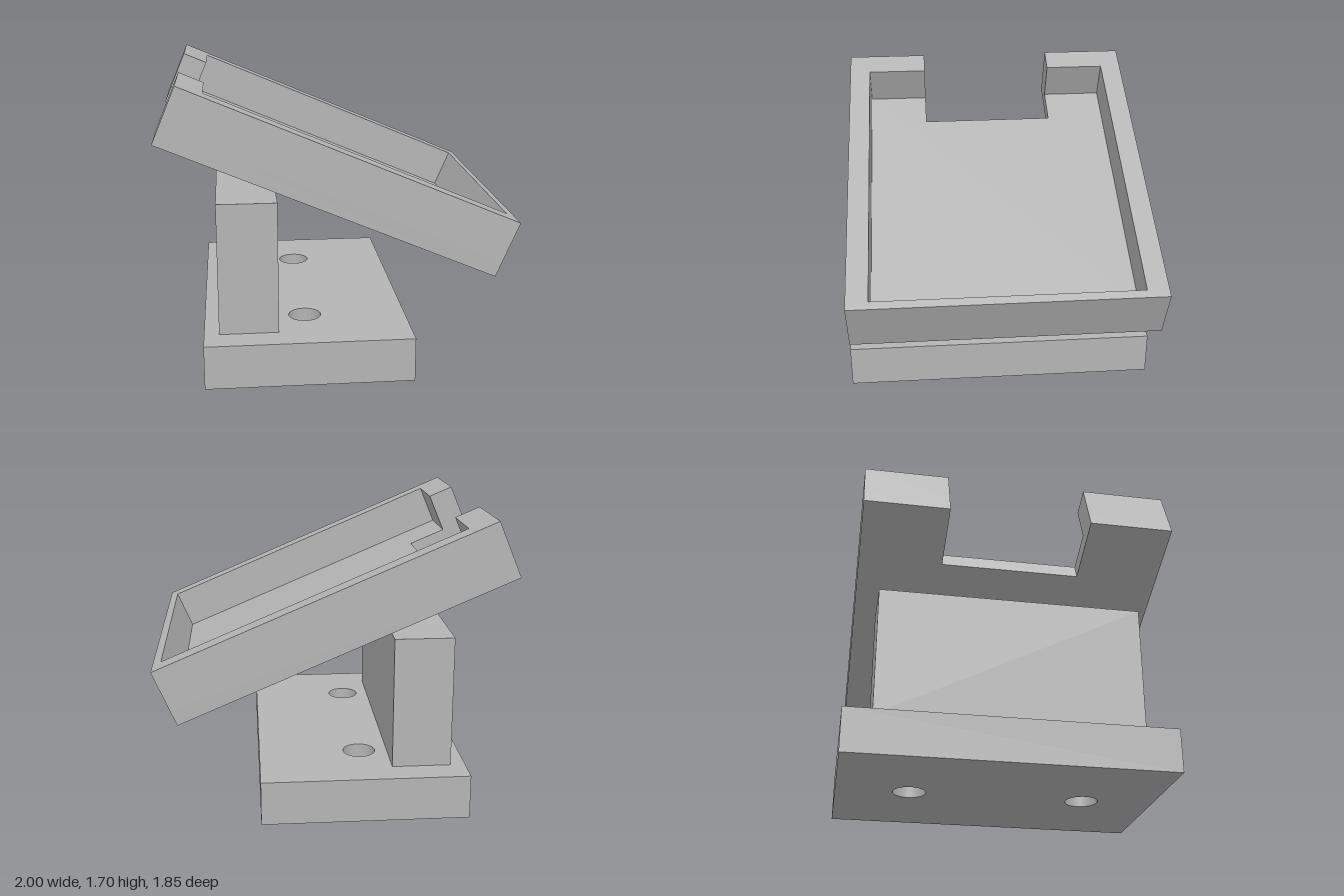
import * as THREE from 'three';

const grey = new THREE.MeshStandardMaterial({ color: 0xb4b4b4 });
grey.name = 'plain grey';

// Closed outline from [x, y] points
function outline(points) {
  return new THREE.Shape(points.map(([x, y]) => new THREE.Vector2(x, y)));
}

// Horizontal slab: outline lies in the x/z plane, extruded upwards from y
function slab(name, shape, y, height) {
  const geometry = new THREE.ExtrudeGeometry(shape, { depth: height, bevelEnabled: false, curveSegments: 24 });
  geometry.rotateX(-Math.PI / 2);
  geometry.translate(0, y, 0);
  const mesh = new THREE.Mesh(geometry, grey);
  mesh.name = name;
  return mesh;
}

export function createModel() {
  const model = new THREE.Group();
  model.name = 'tiltedTrayStand';

  // Base plate with two screw holes
  const baseShape = outline([[-0.765, -0.925], [0.42, -0.925], [0.42, 0.925], [-0.765, 0.925]]);
  for (const side of [-1, 1]) {
    const hole = new THREE.Path();
    hole.absarc(-0.175, side * 0.505, 0.095, 0, Math.PI * 2, true);
    baseShape.holes.push(hole);
  }
  model.add(slab('basePlate', baseShape, 0, 0.255));

  // Upright block
  const upright = new THREE.Mesh(new THREE.BoxGeometry(0.34, 0.765, 1.52), grey);
  upright.name = 'upright';
  upright.position.set(-0.51, 0.6375, 0);
  model.add(upright);

  // Tilted tray, laid out flat from its upper end and then turned
  const tray = new THREE.Group();
  tray.name = 'tray';
  const length = 2.028, half = 0.885, notch = 0.403, floorHeight = 0.095;
  const innerStart = 0.152, innerEnd = 1.977, innerHalf = 0.76;

  // Floor, notched at the upper end
  tray.add(slab('trayFloor', outline([
    [0, -half], [length, -half], [length, half], [0, half],
    [0, notch], [0.38, notch], [0.38, -notch], [0, -notch],
  ]), 0, floorHeight));

  // Rim, open at the notch
  tray.add(slab('trayRim', outline([
    [0, -half], [length, -half], [length, half], [0, half],
    [0, notch], [innerStart, notch], [innerStart, innerHalf], [innerEnd, innerHalf],
    [innerEnd, -innerHalf], [innerStart, -innerHalf], [innerStart, -notch], [0, -notch],
  ]), floorHeight, 0.335 - floorHeight));

  tray.position.set(-1, 1.387, 0);
  tray.rotation.z = -THREE.MathUtils.degToRad(23);
  model.add(tray);

  return model;
}
